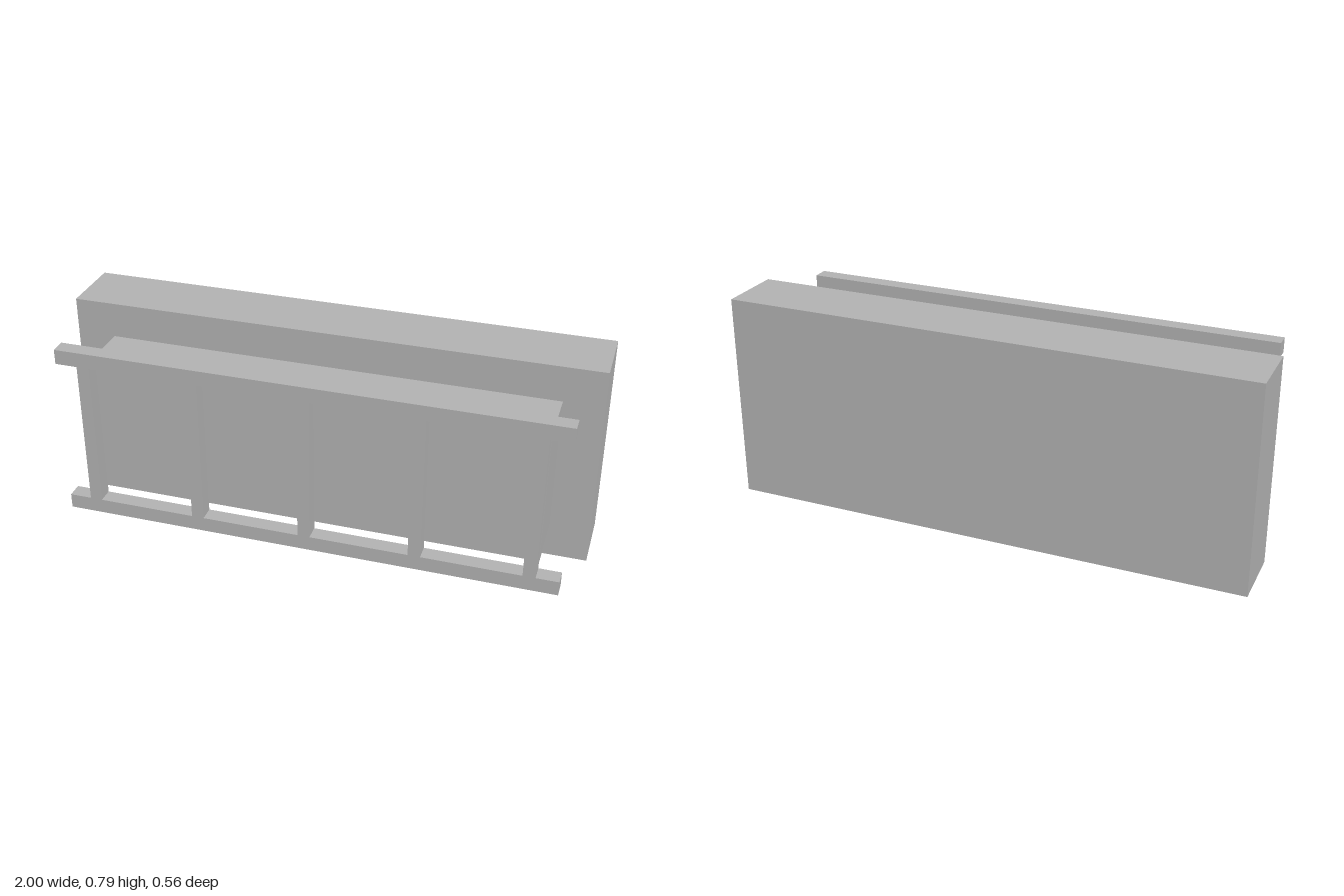
import * as THREE from 'three';

export function createModel() {
  const model = new THREE.Group();
  const grey = new THREE.MeshStandardMaterial({ color: 0xb2b2b2 });
  grey.name = 'grey';

  // Box given by its lower and upper limits on each axis
  function box(name, [x0, x1], [y0, y1], [z0, z1], parent = model) {
    const mesh = new THREE.Mesh(new THREE.BoxGeometry(x1 - x0, y1 - y0, z1 - z0), grey);
    mesh.name = name;
    mesh.position.set((x0 + x1) / 2, (y0 + y1) / 2, (z0 + z1) / 2);
    parent.add(mesh);
  }

  // Large rear block and the smaller block projecting from it
  box('backBlock', [-1, 1], [0, 0.792], [-0.28, -0.03]);
  box('frontBlock', [-0.853, 0.853], [0.136, 0.656], [-0.03, 0.21]);

  // Free-standing lattice in front: two long rails joined by five posts
  const frame = new THREE.Group();
  frame.name = 'frontFrame';
  model.add(frame);
  const depth = [0.22, 0.28];
  const centre = -0.002;
  const railBottom = [0.056, 0.113];
  const railTop = [0.681, 0.738];
  box('bottomRail', [centre - 0.939, centre + 0.939], railBottom, depth, frame);
  box('topRail', [centre - 0.939, centre + 0.939], railTop, depth, frame);
  for (let i = -2; i <= 2; i++) {
    const x = centre + i * 0.416;
    box('post', [x - 0.023, x + 0.023], [railBottom[1], railTop[0]], depth, frame);
  }

  return model;
}
